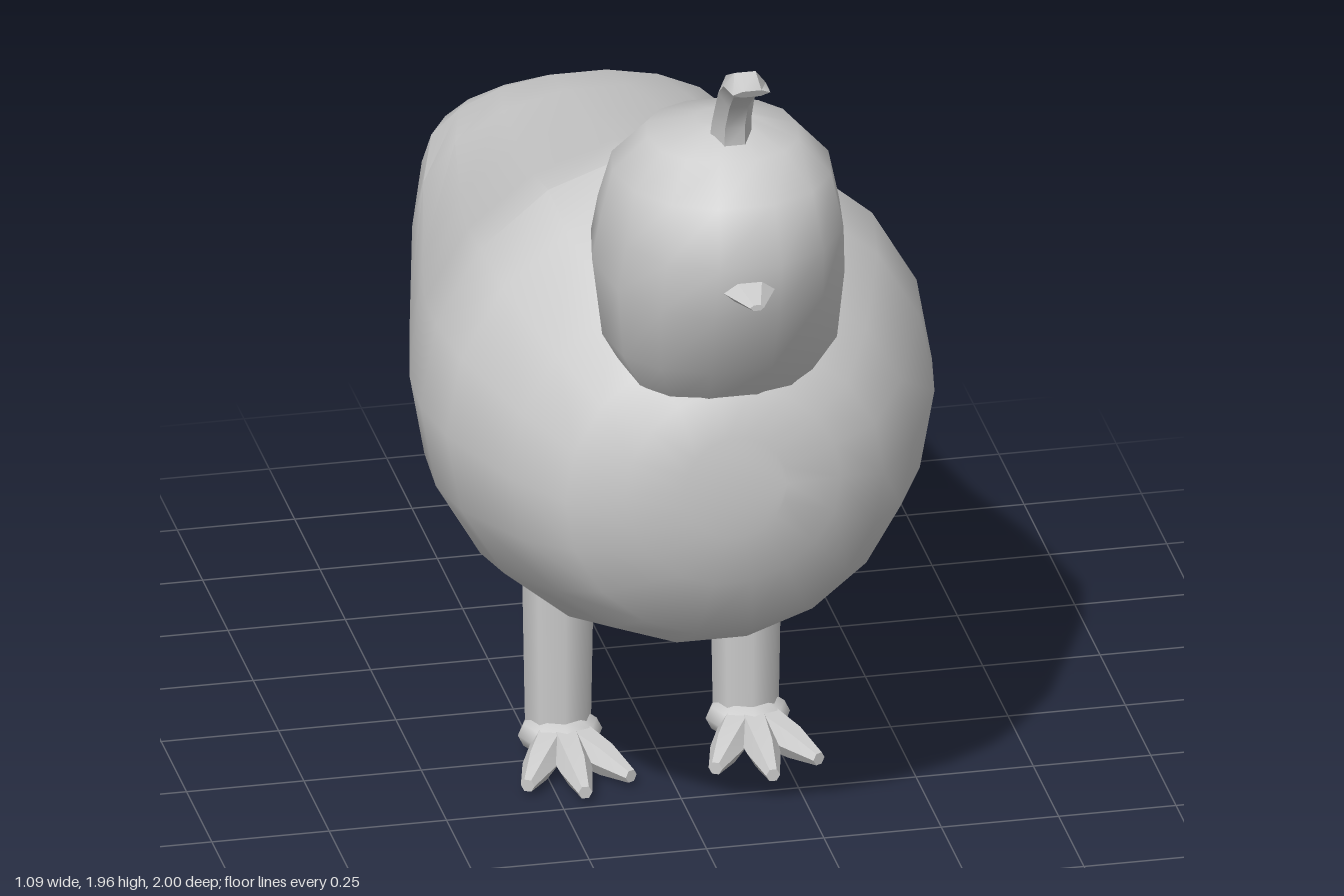
import * as THREE from 'three';
import { toCreasedNormals } from 'three/addons/utils/BufferGeometryUtils.js';

const material = new THREE.MeshStandardMaterial({ color: 0xcccccc, side: THREE.DoubleSide });

// Skin over rings. Each ring spans A to B in the side plane:
// [zA, yA, zB, yB, halfWidth, where it is widest from B (0) to A (1)]
function loft(rings, sides, power = 1, crease = 0.6) {
  const pos = [], index = [];
  const soft = (v) => Math.sign(v) * Math.abs(v) ** power;
  for (const [zA, yA, zB, yB, w, k = 0.5] of rings) {
    const zc = zB + (zA - zB) * k, yc = yB + (yA - yB) * k;
    for (let j = 0; j < sides; j++) {
      const a = (j / sides) * Math.PI * 2, s = soft(Math.sin(a)), t = Math.abs(s);
      const [z, y] = s > 0 ? [zA, yA] : [zB, yB];
      pos.push(w * soft(Math.cos(a)), yc + (y - yc) * t, zc + (z - zc) * t);
    }
  }
  const n = rings.length;
  for (let i = 0; i < n - 1; i++) {
    for (let j = 0; j < sides; j++) {
      const a = i * sides + j, b = i * sides + (j + 1) % sides;
      index.push(a, b, b + sides, a, b + sides, a + sides);
    }
  }
  // End caps
  const last = (n - 1) * sides;
  for (let j = 1; j < sides - 1; j++) {
    index.push(0, j + 1, j, last, last + j, last + j + 1);
  }
  const g = new THREE.BufferGeometry();
  g.setAttribute('position', new THREE.Float32BufferAttribute(pos, 3));
  g.setIndex(index);
  g.computeVertexNormals();
  return toCreasedNormals(g, crease);
}

function add(parent, name, geometry) {
  const mesh = new THREE.Mesh(geometry, material);
  mesh.name = name;
  parent.add(mesh);
  return mesh;
}

// Leg with three front toes and one back toe
function makeLeg(side) {
  const leg = new THREE.Group();
  leg.name = side > 0 ? 'leftLeg' : 'rightLeg';
  const shank = add(leg, 'shank', new THREE.CylinderGeometry(0.078, 0.07, 0.46, 8));
  shank.position.set(0, 0.29, -0.04);
  const pad = add(leg, 'footPad', new THREE.SphereGeometry(0.09, 8, 6));
  pad.scale.set(1, 0.55, 1);
  pad.position.set(0, 0.07, -0.02);
  const toes = [[-0.5, 0.23], [0, 0.26], [0.5, 0.23], [Math.PI, 0.15]];
  for (const [turn, length] of toes) {
    add(leg, 'toe', loft([
      [0.04, 0.11, 0.04, 0.02, 0.045],
      [length * 0.65, 0.09, length * 0.65, 0.02, 0.035],
      [length, 0.06, length, 0.03, 0.015],
    ], 6).rotateY(turn)).position.z = -0.03;
  }
  leg.position.x = side * 0.2;
  return leg;
}

export function createModel() {
  const bird = new THREE.Group();
  bird.name = 'bird';

  // Plump body, from the pointed tail to the breast
  add(bird, 'body', loft([
    [-1.0, 1.09, -1.0, 1.07, 0.03],
    [-0.93, 1.13, -0.93, 1.01, 0.15, 0.6],
    [-0.84, 1.19, -0.84, 0.92, 0.285, 0.58],
    [-0.76, 1.23, -0.76, 0.83, 0.335, 0.56],
    [-0.6, 1.27, -0.6, 0.65, 0.39, 0.54],
    [-0.3, 1.355, -0.3, 0.42, 0.46, 0.52],
    [0.0, 1.44, 0.0, 0.4, 0.525, 0.51],
    [0.2, 1.5, 0.2, 0.41, 0.545],
    [0.34, 1.46, 0.34, 0.44, 0.52],
    [0.55, 1.36, 0.55, 0.52, 0.43],
    [0.68, 1.27, 0.68, 0.6, 0.34],
    [0.76, 1.2, 0.76, 0.75, 0.23],
    [0.79, 1.1, 0.79, 0.87, 0.11],
  ], 18));

  // Head, from chin to crown
  add(bird, 'head', loft([
    [0.5, 1.2, 0.75, 1.165, 0.19],
    [0.43, 1.3, 0.85, 1.28, 0.25, 0.53],
    [0.34, 1.47, 0.91, 1.43, 0.265, 0.55],
    [0.365, 1.55, 0.945, 1.56, 0.255, 0.55],
    [0.42, 1.66, 0.9, 1.68, 0.23, 0.55],
    [0.49, 1.745, 0.82, 1.75, 0.16],
    [0.6, 1.775, 0.74, 1.79, 0.06],
  ], 14, 0.9, 0.9));

  // Thin, short beak
  add(bird, 'beak', loft([
    [0.91, 1.53, 0.91, 1.47, 0.06],
    [1.0, 1.505, 1.0, 1.49, 0.015],
  ], 6));

  // Feather crest curling forward
  add(bird, 'crest', loft([
    [0.68, 1.76, 0.785, 1.76, 0.045],
    [0.71, 1.82, 0.785, 1.81, 0.042],
    [0.78, 1.94, 0.82, 1.87, 0.04],
    [0.88, 1.99, 0.87, 1.92, 0.045],
    [0.95, 1.975, 0.94, 1.955, 0.04],
  ], 6));

  for (const side of [-1, 1]) bird.add(makeLeg(side));
  return bird;
}
